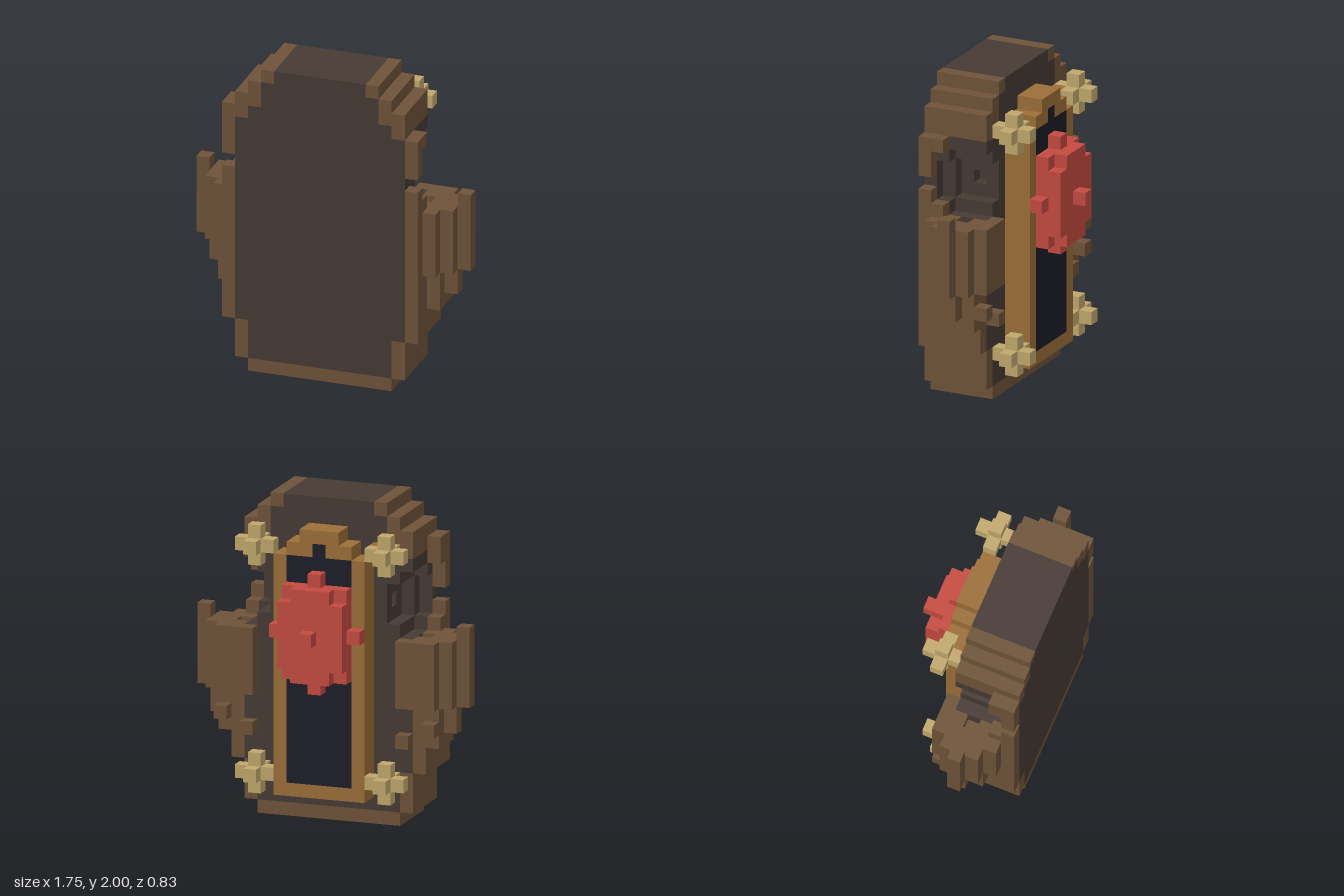
import * as THREE from 'three';

const V = 2 / 24; // edge of one block

// x index is a block centre; y and z indices are the lower faces of a block
export function createModel() {
  const mats = {};
  const colours = { brown: 0x6e5339, darkStone: 0x463a34, gold: 0x9b6e38, tan: 0xc0a86c, red: 0xc44a40, nightBlue: 0x1b1c27 };
  for (const [name, color] of Object.entries(colours)) {
    mats[name] = new THREE.MeshStandardMaterial({ color });
    mats[name].name = name;
  }

  const grid = new Map();
  const key = (x, y, z) => x + ',' + y + ',' + z;
  const parts = {
    bodyCore: 'darkStone', bodyRim: 'brown', leftArm: 'brown', rightArm: 'brown',
    doorFrame: 'gold', doorPanel: 'nightBlue', cornerKnobs: 'tan', redBoss: 'red',
  };

  // Fill or clear an inclusive range of blocks
  const each = (x0, x1, y0, y1, z0, z1, fn) => {
    for (let x = x0; x <= x1; x++)
      for (let y = y0; y <= y1; y++)
        for (let z = z0; z <= z1; z++) fn(x, y, z);
  };
  const fill = (part, ...r) => each(...r, (x, y, z) => {
    if (!grid.has(key(x, y, z))) grid.set(key(x, y, z), { part, p: [x, y, z] });
  });
  const clear = (...r) => each(...r, (x, y, z) => grid.delete(key(x, y, z)));

  // Slab body: dark core with a brown rim, [first row, last row, rim half width, core half width]
  const rows = [[0, 0, 5, -1], [1, 3, 6, 5], [4, 19, 7, 6], [20, 20, 6, 5], [21, 21, 6, 4], [22, 22, 5, 4], [23, 23, 4, 3]];
  for (const [a, b, rim, core] of rows) {
    if (core >= 0) fill('bodyCore', -core, core, a, b, 0, 4);
    fill('bodyRim', -rim, rim, a, b, 0, 4);
  }
  fill('bodyRim', -7, -7, 20, 20, 3, 4);

  for (const s of [1, -1]) {
    const arm = s > 0 ? 'leftArm' : 'rightArm';
    const at = (part, x0, x1, ...r) => fill(part, Math.min(s * x0, s * x1), Math.max(s * x0, s * x1), ...r);

    // Rounded arm column with a taller outer post
    at(arm, 6, 8, 9, 13, -1, -1);
    at(arm, 8, 8, 9, 13, -1, 3);
    at(arm, 9, 9, 9, 13, 0, 2);
    at(arm, 10, 10, 9, 14, 1, 1);
    // Stepped underside and loose blocks
    at(arm, 8, 8, 6, 7, 0, 2);
    at(arm, 8, 8, 8, 8, 0, 2);
    at(arm, 9, 9, 7, 8, 1, 1);
    at(arm, 6, 6, 6, 6, -1, -1);
    at(arm, 8, 8, 7, 7, -1, -1);

    // Ball-shaped niche open to the side and back
    each(-3, 3, -3, 3, -3, 3, (x, y, z) => {
      const d = x * x + y * y + z * z;
      const tip = d === 9 && Math.max(Math.abs(x), Math.abs(y), Math.abs(z)) === 3;
      if (d <= 6 || tip) grid.delete(key(s * 7 + x, 16 + y, 1 + z));
    });
    clear(s * 7, s * 7, 18, 18, 0, 3);
    clear(s * 7, s * 7, 19, 19, 0, 2);

    // Six-armed knobs at the corners of the door
    for (const y of [3, 20]) {
      at('cornerKnobs', 4, 6, y, y, -2, -2);
      at('cornerKnobs', 5, 5, y - 1, y + 1, -2, -2);
      at('cornerKnobs', 5, 5, y, y, -3, -1);
    }
  }

  // Door on the back with a stepped frame
  fill('doorPanel', -2, 2, 3, 19, -2, -1);
  fill('doorPanel', 0, 0, 20, 20, -2, -1);
  fill('doorFrame', -3, 3, 2, 19, -2, -1);
  fill('doorFrame', -2, 2, 20, 20, -2, -1);
  fill('doorFrame', -1, 1, 21, 21, -2, -1);
  fill('doorFrame', -4, -4, 20, 20, -1, -1);

  // Rounded red boss with single blocks at its poles
  fill('redBoss', -2, 2, 11, 17, -3, -3);
  fill('redBoss', -1, 1, 11, 17, -4, -4);
  fill('redBoss', -2, 2, 12, 16, -4, -4);
  fill('redBoss', -3, 3, 14, 14, -3, -3);
  fill('redBoss', 0, 0, 10, 18, -3, -3);
  fill('redBoss', 0, 0, 14, 14, -5, -5);

  // Make one mesh per part from the exposed block faces
  const group = new THREE.Group();
  group.name = 'blockGate';
  const square = [[0, 0], [1, 0], [1, 1], [0, 1]];
  for (const [part, material] of Object.entries(parts)) {
    const pos = [], index = [];
    for (const { part: owner, p } of grid.values()) {
      if (owner !== part) continue;
      for (let a = 0; a < 3; a++) for (const dir of [1, -1]) {
        const n = [...p];
        n[a] += dir;
        if (grid.has(key(...n))) continue;
        const base = pos.length / 3;
        for (const [u, v] of square) {
          const c = [...p];
          c[a] += dir > 0 ? 1 : 0;
          c[(a + 1) % 3] += u;
          c[(a + 2) % 3] += v;
          pos.push((c[0] - 0.5) * V, c[1] * V, c[2] * V);
        }
        const order = dir > 0 ? [0, 1, 2, 0, 2, 3] : [0, 2, 1, 0, 3, 2];
        index.push(...order.map((i) => base + i));
      }
    }
    const g = new THREE.BufferGeometry();
    g.setAttribute('position', new THREE.Float32BufferAttribute(pos, 3));
    g.setIndex(index);
    g.computeVertexNormals();
    const mesh = new THREE.Mesh(g, mats[material]);
    mesh.name = part;
    group.add(mesh);
  }
  return group;
}
